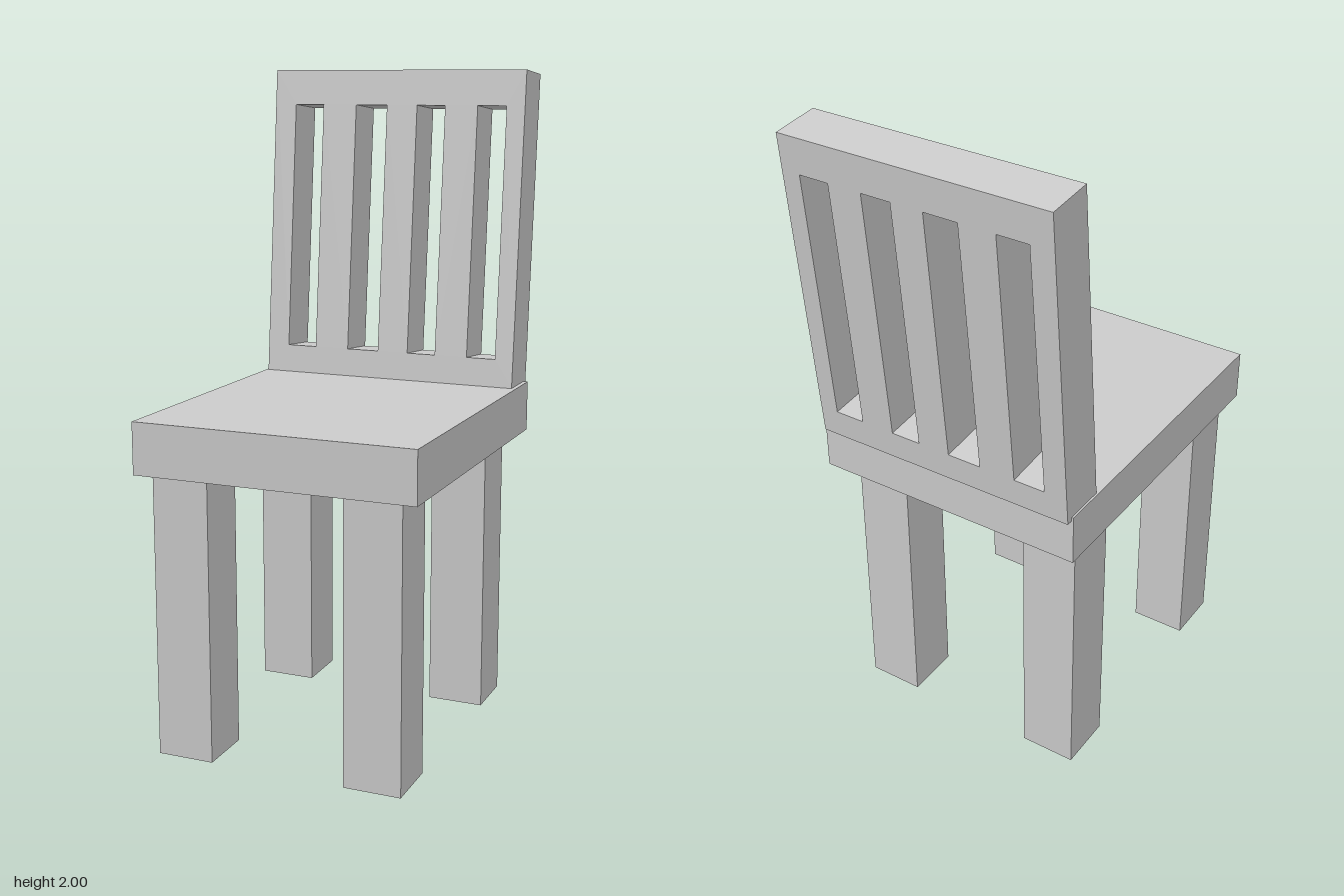
import * as THREE from 'three';

const material = new THREE.MeshStandardMaterial({ color: 0xcccccc, flatShading: true });

// Box given by its minimum and maximum on each axis
function slab(name, [x0, x1], [y0, y1], [z0, z1]) {
  const mesh = new THREE.Mesh(new THREE.BoxGeometry(x1 - x0, y1 - y0, z1 - z0), material);
  mesh.position.set((x0 + x1) / 2, (y0 + y1) / 2, (z0 + z1) / 2);
  mesh.name = name;
  return mesh;
}

// Adds a rectangle to a shape or path
function rectangle(path, x0, x1, y0, y1) {
  path.moveTo(x0, y0);
  path.lineTo(x1, y0);
  path.lineTo(x1, y1);
  path.lineTo(x0, y1);
  path.closePath();
  return path;
}

export function createModel() {
  const chair = new THREE.Group();
  chair.name = 'chair';

  // Seat
  chair.add(slab('seat', [-0.433, 0.433], [0.863, 1.02], [-0.45, 0.56]));

  // Four square legs
  const sides = { right: [-0.395, -0.22], left: [0.2, 0.375] };
  const ends = { front: [0.34, 0.515], back: [-0.375, -0.2] };
  for (const [end, z] of Object.entries(ends)) {
    for (const [side, x] of Object.entries(sides)) {
      chair.add(slab(`${end} ${side} leg`, x, [0, 0.863], z));
    }
  }

  // Leaning backrest with four slots cut through it
  const depth = 0.151;
  const outline = rectangle(new THREE.Shape(), -0.427, 0.419, 0, 0.984);
  const slots = [[-0.355, -0.257], [-0.143, -0.037], [0.065, 0.159], [0.266, 0.36]];
  for (const [x0, x1] of slots) {
    outline.holes.push(rectangle(new THREE.Path(), x0, x1, 0.088, 0.874));
  }
  const geometry = new THREE.ExtrudeGeometry(outline, { depth, bevelEnabled: false });
  geometry.translate(0, 0, -depth);
  const backrest = new THREE.Mesh(geometry, material);
  backrest.name = 'backrest';
  backrest.position.set(0, 1.02, -0.319);
  backrest.rotation.x = -0.091;
  chair.add(backrest);

  return chair;
}
